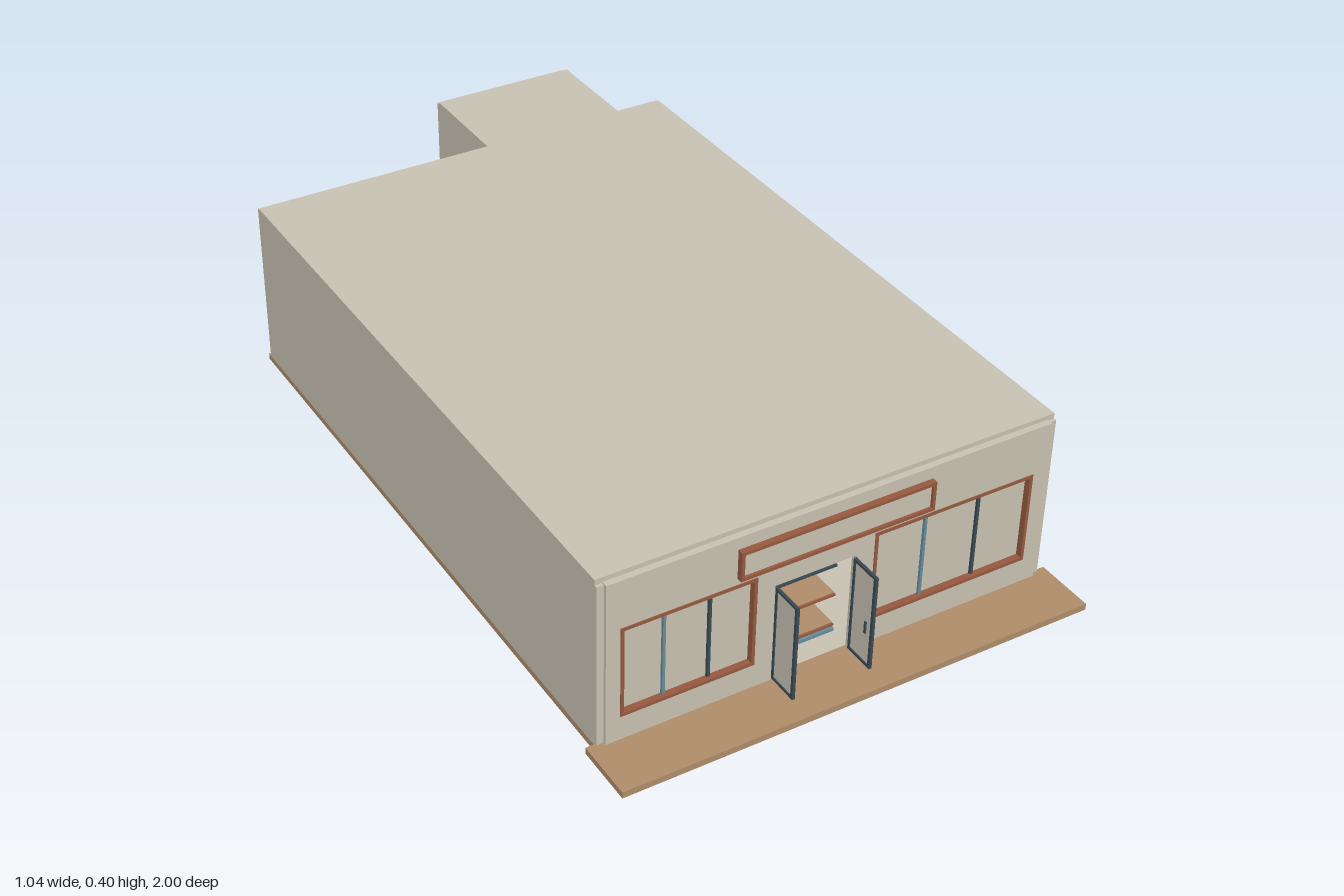
import * as THREE from 'three';

const mat = (name, color) => {
  const m = new THREE.MeshStandardMaterial({ color });
  m.name = name;
  return m;
};

export function createModel() {
  const model = new THREE.Group();
  model.name = 'shopBuilding';
  const plaster = mat('cream plaster', 0xc9c2b3);
  const timber = mat('tan timber', 0xb08d6a);
  const brick = mat('red brown trim', 0x96593f);
  const teal = mat('teal trim', 0x668d9c);
  const slate = mat('dark slate trim', 0x3a4b55);

  const add = (name, geometry, material) => {
    const m = new THREE.Mesh(geometry, material);
    m.name = name;
    model.add(m);
    return m;
  };
  // Box given by its lower and upper limits
  const box = (name, material, x0, x1, y0, y1, z0, z1) => {
    const m = add(name, new THREE.BoxGeometry(x1 - x0, y1 - y0, z1 - z0), material);
    m.position.set((x0 + x1) / 2, (y0 + y1) / 2, (z0 + z1) / 2);
    return m;
  };
  const rect = (Type, x0, x1, y0, y1) => {
    const p = new Type();
    p.moveTo(x0, y0).lineTo(x1, y0).lineTo(x1, y1).lineTo(x0, y1).closePath();
    return p;
  };
  const extrude = (name, material, shape, z0, z1) => {
    const g = new THREE.ExtrudeGeometry(shape, { depth: z1 - z0, bevelEnabled: false });
    add(name, g.translate(0, 0, z0), material);
  };
  // Rectangular ring facing the front
  const frame = (name, material, x0, x1, y0, y1, w, z0, z1) => {
    const s = rect(THREE.Shape, x0, x1, y0, y1);
    s.holes.push(rect(THREE.Path, x0 + w, x1 - w, y0 + w, y1 - w));
    extrude(name, material, s, z0, z1);
  };

  // Ground slab and front porch
  box('groundSlab', timber, -0.5, 0.5, 0, 0.014, -0.6, 0.88);
  box('porch', timber, -0.52, 0.52, 0.006, 0.02, 0.868, 1);
  box('interiorFloor', plaster, -0.485, 0.485, 0.014, 0.019, 0.13, 0.868);

  // Shell: side walls, back wall, inner partition and roof
  for (const s of [-1, 1]) {
    box('sideWall', plaster, s > 0 ? 0.485 : -0.5, s > 0 ? 0.5 : -0.485, 0.014, 0.385, -0.585, 0.866);
  }
  box('backWall', plaster, -0.496, 0.496, 0.014, 0.388, -0.6, -0.585);
  box('partition', plaster, -0.485, 0.485, 0.014, 0.385, 0.12, 0.135);
  box('roof', plaster, -0.5, 0.5, 0.385, 0.397, -0.585, 0.866);

  // Front wall with doorway and window openings
  const windows = [
    { x0: -0.455, x1: -0.17, bars: [-0.361, -0.265] },
    { x0: 0.088, x1: 0.452, bars: [0.209, 0.332] },
  ];
  const wall = new THREE.Shape();
  wall.moveTo(-0.485, 0.014).lineTo(-0.13, 0.014).lineTo(-0.13, 0.244).lineTo(0.048, 0.244)
    .lineTo(0.048, 0.014).lineTo(0.485, 0.014).lineTo(0.485, 0.387).lineTo(-0.485, 0.387).closePath();
  windows.forEach((w) => wall.holes.push(rect(THREE.Path, w.x0, w.x1, 0.075, 0.28)));
  extrude('frontWall', plaster, wall, 0.866, 0.88);
  for (const s of [-1, 1]) box('cornerStrip', plaster, s * 0.4925 - 0.0075, s * 0.4925 + 0.0075, 0.014, 0.385, 0.866, 0.873);

  // Shop windows
  for (const w of windows) {
    frame('windowFrame', brick, w.x0, w.x1, 0.075, 0.28, 0.007, 0.864, 0.882);
    box('windowPane', plaster, w.x0, w.x1, 0.075, 0.28, 0.86, 0.868);
    w.bars.forEach((x, i) => box('windowBar', i ? slate : teal, x - 0.003, x + 0.003, 0.082, 0.273, 0.866, 0.874));
  }

  // Sign board above the door
  box('signPanel', plaster, -0.209, 0.206, 0.3, 0.355, 0.879, 0.887);
  frame('signFrame', brick, -0.214, 0.211, 0.295, 0.36, 0.007, 0.879, 0.893);

  // Double doors standing open outward
  for (const [x, hx] of [[-0.127, -0.116], [0.045, 0.034]]) {
    const a = x - 0.003, b = x + 0.003;
    box('doorPanel', plaster, x - 0.001, x + 0.001, 0.03, 0.234, 0.886, 0.944);
    box('doorHingeStile', slate, a, b, 0.024, 0.24, 0.88, 0.886);
    box('doorOuterStile', slate, a, b, 0.024, 0.24, 0.944, 0.951);
    box('doorTopRail', slate, a, b, 0.234, 0.24, 0.886, 0.944);
    box('doorBottomRail', slate, a, b, 0.024, 0.03, 0.886, 0.944);
    box('doorHandle', slate, Math.min(x, hx) + 0.004, Math.max(x, hx) - 0.004, 0.1, 0.127, 0.93, 0.935);
  }

  // Display shelves just inside the doorway
  box('shelfBack', plaster, -0.11, 0.048, 0.019, 0.18, 0.72, 0.725);
  for (const [y, edge] of [[0.18, slate], [0.109, brick], [0.036, brick]]) {
    box('shelf', timber, -0.115, 0.048, y, y + 0.005, 0.725, 0.82);
    box('shelfEdge', edge, -0.115, 0.048, y - 0.001, y + 0.004, 0.82, 0.824);
    box('shelfTray', teal, -0.125, -0.06, y + 0.005, y + 0.009, 0.75, 0.81);
  }
  box('shelfPlinth', teal, -0.11, 0.048, 0.024, 0.031, 0.8, 0.826);
  box('counterPost', brick, -0.12, -0.112, 0.019, 0.14, 0.828, 0.85);

  // Rear annex
  box('annex', plaster, 0.13, 0.48, 0.012, 0.305, -0.982, -0.6);
  box('annexEndWall', plaster, 0.134, 0.476, 0.018, 0.296, -1, -0.982);

  return model;
}
